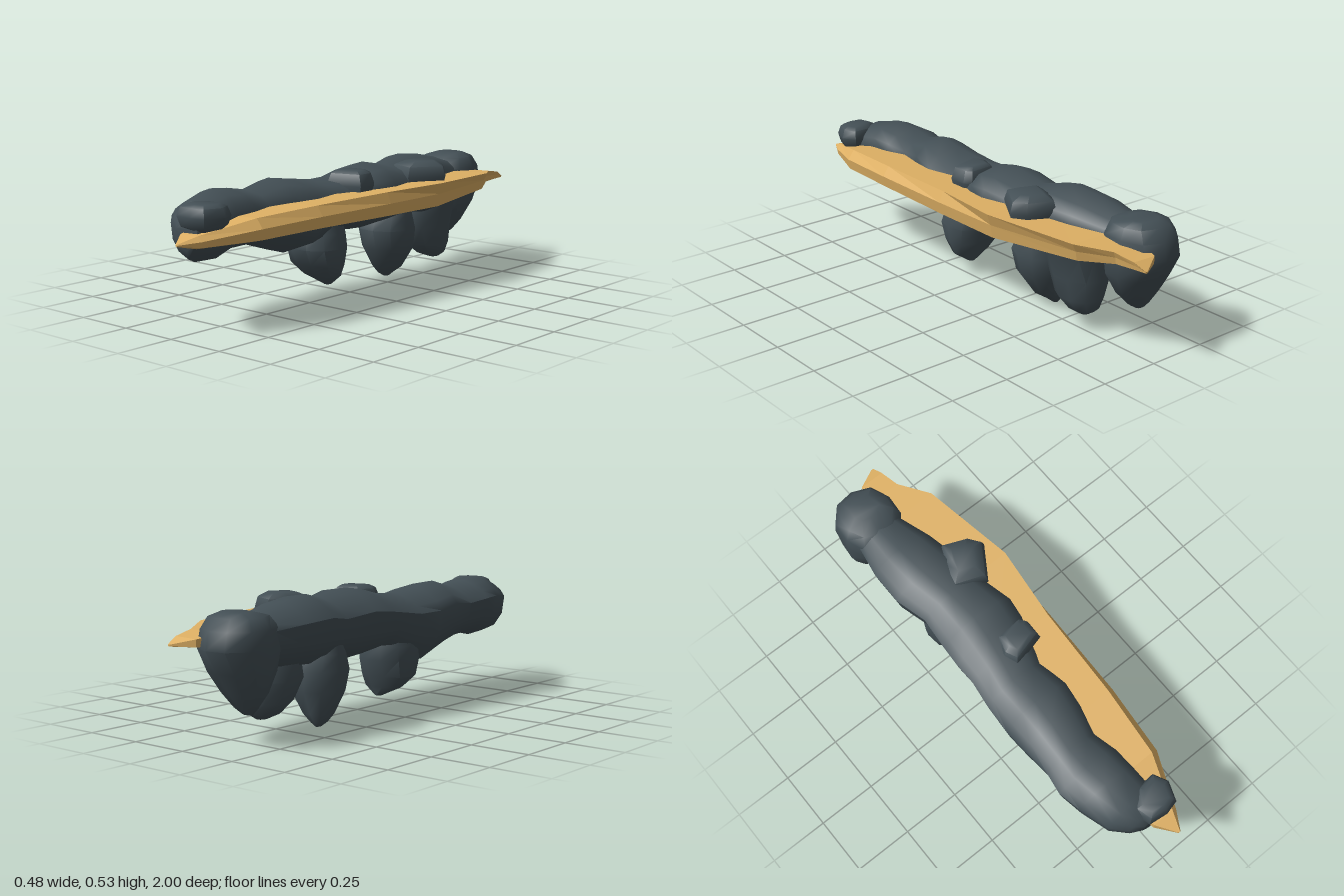
import * as THREE from 'three';
import { toCreasedNormals } from 'three/addons/utils/BufferGeometryUtils.js';

const stone = new THREE.MeshStandardMaterial({ color: 0x434f55 });
stone.name = 'slate stone';
const sand = new THREE.MeshStandardMaterial({ color: 0xdeb064, flatShading: true });
sand.name = 'sandstone';

// Skin a stack of rings of [x, y, z] points and close both ends.
// Seen from the first ring's side, each ring runs clockwise.
function loft(name, rings, material) {
  const n = rings[0].length, index = [];
  for (let i = 0; i < rings.length - 1; i++) {
    for (let j = 0; j < n; j++) {
      const a = i * n + j, b = i * n + ((j + 1) % n);
      index.push(a, b, b + n, a, b + n, a + n);
    }
  }
  const last = (rings.length - 1) * n;
  for (let j = 1; j < n - 1; j++) {
    index.push(0, j + 1, j, last, last + j, last + j + 1);
  }
  const geo = new THREE.BufferGeometry();
  geo.setAttribute('position', new THREE.Float32BufferAttribute(rings.flat(2), 3));
  geo.setIndex(index);
  const mesh = new THREE.Mesh(toCreasedNormals(geo, 0.85), material);
  mesh.name = name;
  return mesh;
}

// Ridge of merged boulders: sections [z, left x, right x, bottom y, top y, bottom point 0..1]
function ridge() {
  const profile = [
    [0, 0.7], [0.09, 0.82], [0.26, 0.93], [0.45, 1], [0.8, 0.93], [0.95, 0.8], [1, 0.64],
    [0.97, 0.38], [0.86, 0.2], ['low', 0], [0.22, 0.13], [0.05, 0.37],
  ];
  const sections = [
    [0.905, -0.07, 0.05, 0.31, 0.42, 0.5],
    [0.88, -0.12, 0.06, 0.275, 0.455, 0.5],
    [0.82, -0.18, 0.06, 0.25, 0.485, 0.5],
    [0.7, -0.22, 0.055, 0.245, 0.511, 0.55],
    [0.6, -0.24, 0.05, 0.265, 0.5, 0.5],
    [0.5, -0.222, 0.03, 0.263, 0.482, 0.45],
    [0.38, -0.233, 0.06, 0.225, 0.515, 0.4],
    [0.27, -0.235, 0.083, 0.193, 0.5, 0.35],
    [0.14, -0.228, 0.06, 0.23, 0.482, 0.4],
    [0.03, -0.215, 0.09, 0.265, 0.49, 0.45],
    [-0.06, -0.22, 0.12, 0.25, 0.515, 0.45],
    [-0.15, -0.216, 0.13, 0.245, 0.528, 0.42],
    [-0.3, -0.2, 0.1, 0.26, 0.5, 0.45],
    [-0.43, -0.24, 0.08, 0.26, 0.53, 0.4],
    [-0.58, -0.238, 0.05, 0.27, 0.515, 0.4],
    [-0.73, -0.21, 0.005, 0.29, 0.485, 0.45],
    [-0.82, -0.19, -0.01, 0.33, 0.475, 0.45],
    [-0.87, -0.16, -0.04, 0.36, 0.45, 0.5],
  ];
  const rings = sections.map(([z, x0, x1, y0, y1, low]) => profile.map(([u, v]) =>
    [x0 + (x1 - x0) * (u === 'low' ? low : u), y0 + (y1 - y0) * v, z]));
  return loft('boulderRidge', rings, stone);
}

// Hanging stone: levels from the top down [y, x0, x1, z0, z1]
function hangingStone(name, levels, turn) {
  const sides = 10;
  const rings = levels.map(([y, x0, x1, z0, z1]) => Array.from({ length: sides }, (_, j) => {
    const a = turn + (j / sides) * Math.PI * 2;
    const c = Math.cos(a), s = Math.sin(a);
    const r = (Math.abs(c) ** 2.4 + Math.abs(s) ** 2.4) ** (-1 / 2.4);
    return [(x0 + x1) / 2 + (c * r * (x1 - x0)) / 2, y, (z0 + z1) / 2 + (s * r * (z1 - z0)) / 2];
  }));
  return loft(name, rings, stone);
}

// Small stone: footprint of [x, z] corners, levels from the top down [y, scale]
function ledgeStone(name, foot, levels) {
  const cx = foot.reduce((t, p) => t + p[0], 0) / foot.length;
  const cz = foot.reduce((t, p) => t + p[1], 0) / foot.length;
  const rings = levels.map(([y, k]) => foot.map(([x, z]) => [cx + (x - cx) * k, y, cz + (z - cz) * k]));
  return loft(name, rings, stone);
}

// Faceted ledge: sections [z, inner x, rim x, belly x, bottom y, top y]
function ledge() {
  const sections = [
    [1.0, 0.035, 0.042, 0.045, 0.348, 0.356],
    [0.92, -0.024, 0.07, 0.09, 0.33, 0.38],
    [0.7, -0.06, 0.15, 0.18, 0.33, 0.425],
    [0.4, -0.08, 0.18, 0.207, 0.335, 0.437],
    [0.0, -0.08, 0.2, 0.218, 0.33, 0.442],
    [-0.32, -0.08, 0.237, 0.22, 0.327, 0.446],
    [-0.73, -0.08, 0.172, 0.155, 0.352, 0.436],
    [-0.86, -0.06, 0.09, 0.08, 0.365, 0.425],
    [-0.95, -0.03, 0.075, 0.07, 0.372, 0.41],
    [-1.0, 0.055, 0.065, 0.063, 0.378, 0.386],
  ];
  const rings = sections.map(([z, a, rim, belly, lo, hi]) => {
    const h = hi - lo, w = belly - a;
    return [
      [a, hi - h * 0.08, z], [rim, hi, z], [belly, lo + h * 0.6, z],
      [belly - w * 0.03, lo + h * 0.15, z], [belly - w * 0.28, lo, z], [a, lo + h * 0.15, z],
    ];
  });
  return loft('sandstoneLedge', rings, sand);
}

export function createModel() {
  const group = new THREE.Group();
  group.name = 'rockLedge';
  group.add(ledge(), ridge());

  // Blunt stones hanging below the ridge, the fourth also forming its rear end
  const hanging = [
    [[0.38, -0.15, 0.02, 0.06, 0.2], [0.27, -0.18, 0.05, 0.025, 0.24], [0.21, -0.18, 0.065, 0.028, 0.253],
      [0.14, -0.178, 0.06, 0.05, 0.22], [0.09, -0.13, 0.045, 0.075, 0.175], [0.05, -0.045, -0.015, 0.09, 0.12]],
    [[0.38, -0.15, 0.03, -0.39, -0.27], [0.29, -0.18, 0.05, -0.41, -0.23], [0.225, -0.182, 0.062, -0.433, -0.197],
      [0.14, -0.172, 0.05, -0.425, -0.22], [0.05, -0.14, -0.01, -0.395, -0.275], [0.018, -0.122, -0.06, -0.385, -0.31],
      [0, -0.103, -0.083, -0.37, -0.34]],
    [[0.37, -0.1, 0.12, -0.64, -0.44], [0.31, -0.13, 0.1, -0.66, -0.435], [0.21, -0.14, 0.067, -0.675, -0.43],
      [0.125, -0.11, 0.055, -0.665, -0.465], [0.08, -0.08, 0.03, -0.655, -0.52], [0.06, -0.04, 0.0, -0.625, -0.575]],
    [[0.502, -0.16, -0.04, -0.87, -0.77], [0.485, -0.21, 0.005, -0.91, -0.7], [0.44, -0.235, 0.025, -0.945, -0.66],
      [0.37, -0.238, 0.03, -0.96, -0.65], [0.28, -0.235, 0.02, -0.91, -0.68], [0.2, -0.215, -0.02, -0.86, -0.725],
      [0.145, -0.18, -0.07, -0.825, -0.765], [0.12, -0.155, -0.11, -0.805, -0.78]],
    [[0.37, 0.02, 0.17, -0.44, -0.3], [0.33, 0.02, 0.16, -0.45, -0.3], [0.305, 0.02, 0.1, -0.42, -0.33]],
  ];
  hanging.forEach((levels, i) => group.add(hangingStone(`hangingStone${i + 1}`, levels, i * 0.15)));

  // Small stones resting on the ledge
  group.add(
    ledgeStone('frontLedgeStone',
      [[-0.07, 0.84], [0.0, 0.775], [0.09, 0.77], [0.12, 0.83], [0.09, 0.91], [0.03, 0.925], [-0.05, 0.915]],
      [[0.487, 0.6], [0.475, 0.85], [0.44, 1], [0.4, 0.85], [0.375, 0.45]]),
    ledgeStone('middleLedgeStone',
      [[-0.04, -0.04], [0.09, -0.05], [0.112, -0.02], [0.11, 0.06], [-0.04, 0.1], [-0.068, 0.04]],
      [[0.521, 0.55], [0.508, 0.82], [0.46, 1], [0.42, 0.88]]),
    ledgeStone('rearLedgeStone',
      [[-0.035, -0.31], [-0.01, -0.42], [0.04, -0.5], [0.15, -0.455], [0.19, -0.4], [0.1, -0.26]],
      [[0.523, 0.5], [0.503, 0.88], [0.46, 1], [0.42, 0.9]]),
  );
  return group;
}
